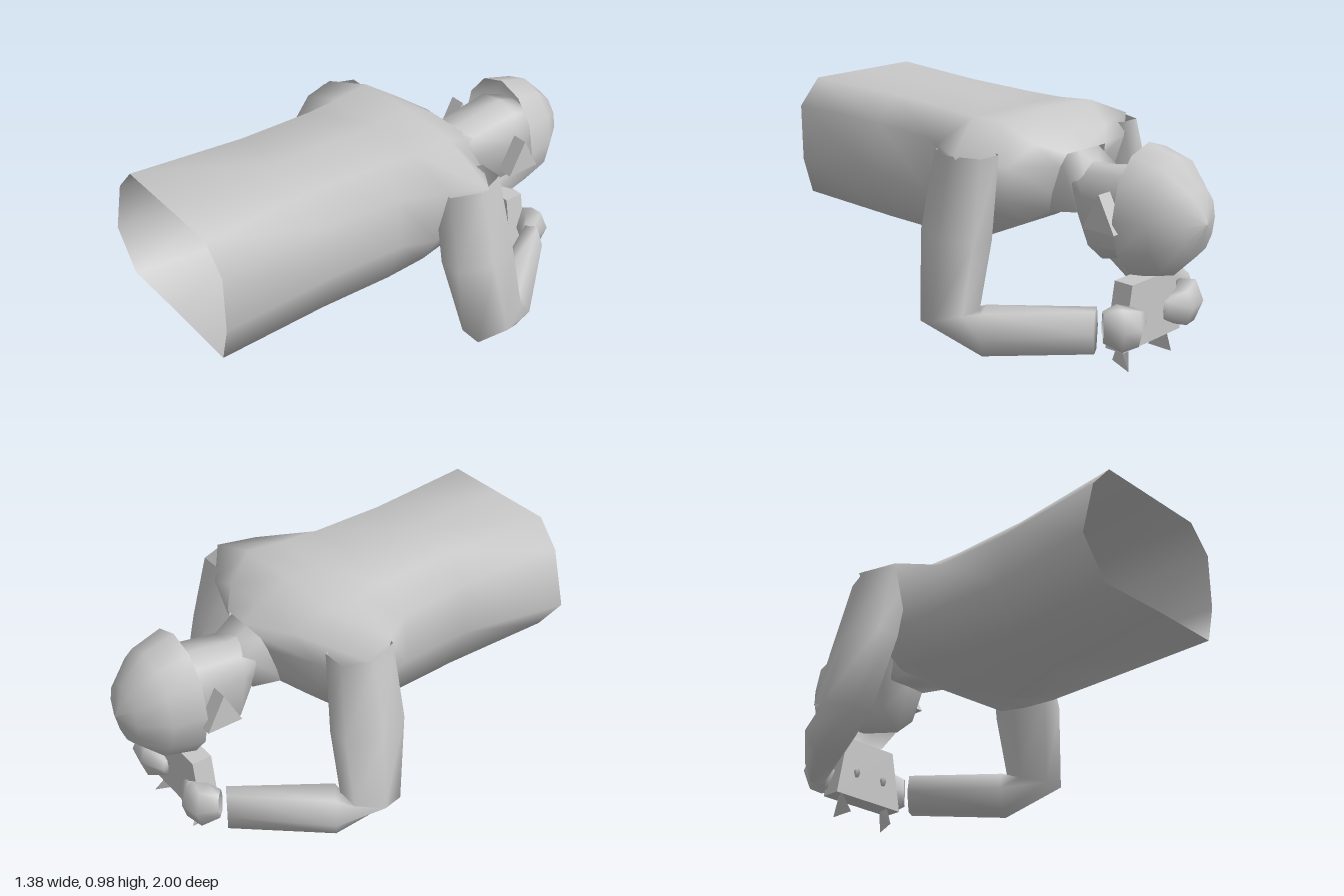
import * as THREE from 'three';
import { ConvexGeometry } from 'three/addons/geometries/ConvexGeometry.js';

const V = (x, y, z) => new THREE.Vector3(x, y, z);

// Skin over a list of equal-sized rings, counter-clockwise around the reverse of the path
function loft(rings, capEnd = false) {
  const n = rings[0].length, pos = [], index = [];
  rings.forEach(r => r.forEach(p => pos.push(p.x, p.y, p.z)));
  for (let i = 0; i < rings.length - 1; i++) {
    for (let j = 0; j < n; j++) {
      const a = i * n + j, b = i * n + (j + 1) % n;
      index.push(a, a + n, b, b, a + n, b + n);
    }
  }
  if (capEnd) {
    const s = (rings.length - 1) * n;
    for (let j = 1; j < n - 1; j++) index.push(s, s + j + 1, s + j);
  }
  const g = new THREE.BufferGeometry();
  g.setAttribute('position', new THREE.Float32BufferAttribute(pos, 3));
  g.setIndex(index);
  g.computeVertexNormals();
  return g;
}

// Ring symmetric in x: half = [x, y] from top centre down to bottom centre; z leans with height
function bodyRing(zTop, zBottom, half) {
  const yT = half[0][1], yB = half[half.length - 1][1];
  const at = (x, y) => V(x, y, THREE.MathUtils.mapLinear(y, yB, yT, zBottom, zTop));
  const left = half.map(([x, y]) => at(-x, y));
  const right = half.slice(1, -1).reverse().map(([x, y]) => at(x, y));
  return [...left, ...right];
}

// Hexagonal ring from its centre, a vector to the middle of a flat side and one to a corner
function limbRing([c, flat, corner]) {
  return Array.from({ length: 6 }, (_, i) => {
    const t = (i + .5) / 6 * Math.PI * 2;
    return V(...c).addScaledVector(V(...flat), Math.cos(t) / Math.cos(Math.PI / 6))
      .addScaledVector(V(...corner), Math.sin(t));
  });
}

const mirrorRing = r => r.map(p => V(-p.x, p.y, p.z)).reverse();

export function createModel() {
  const group = new THREE.Group();
  const grey = new THREE.MeshStandardMaterial({ color: 0xc8c8c8, side: THREE.DoubleSide });
  grey.name = 'plain grey';
  const add = (name, geometry) => {
    const m = new THREE.Mesh(geometry, grey);
    m.name = name;
    group.add(m);
    return m;
  };

  // Torso: open at the waist, closing in on the neck
  const torso = [
    bodyRing(1, 1, [[0, .975], [.275, .975], [.38, .86], [.38, .61], [.335, .445], [0, .45]]),
    bodyRing(.5, .5, [[0, .965], [.24, .96], [.345, .85], [.37, .62], [.3, .42], [0, .392]]),
    bodyRing(.16, .18, [[0, .955], [.25, .95], [.365, .84], [.385, .62], [.32, .43], [0, .355]]),
    bodyRing(0, 0, [[0, .95], [.27, .945], [.48, .865], [.42, .6], [.33, .45], [0, .43]]),
    bodyRing(-.17, -.13, [[0, .97], [.28, .955], [.54, .855], [.42, .62], [.32, .47], [0, .47]]),
    bodyRing(-.31, -.22, [[0, .895], [.22, .87], [.37, .8], [.34, .64], [.2, .52], [0, .51]]),
    bodyRing(-.385, -.29, [[0, .825], [.12, .825], [.14, .77], [.14, .65], [.12, .565], [0, .56]]),
  ];
  torso[0][3].x = -.455;
  torso[2][5].x = .07;
  add('torso', loft(torso));

  // Neck and head, face turned downwards
  const box = (zT, zB, x, yT, yB) => bodyRing(zT, zB, [[0, yT], [x, yT], [x, yB], [0, yB]]);
  add('neck', loft([box(-.34, -.26, .12, .82, .56), box(-.47, -.42, .1, .75, .58)]));
  add('head', loft([
    bodyRing(-.4, -.41, [[0, .78], [.09, .77], [.11, .7], [.1, .62], [0, .59]]),
    bodyRing(-.46, -.48, [[0, .77], [.1, .755], [.12, .66], [.09, .45], [0, .37]]),
    bodyRing(-.71, -.71, [[0, .81], [.11, .79], [.14, .66], [.11, .48], [0, .43]]),
    bodyRing(-.8, -.8, [[0, .78], [.1, .76], [.12, .66], [.1, .52], [0, .48]]),
  ], true));

  // Domed cap
  const dome = new THREE.LatheGeometry(
    [[.28, 0], [.243, .14], [.135, .25], [0, .29]].map(p => new THREE.Vector2(...p)), 12);
  dome.rotateX(-Math.PI / 2).scale(.8, 1, 1);
  add('cap', dome).position.set(.005, .63, -.71);

  // Arms sharply bent at the elbow, and hands closing behind the block
  const arm = [
    [[.44, .85, -.13], [0, 0, .13], [.1, 0, 0]],
    [[.515, .52, -.14], [0, 0, .15], [.105, 0, 0]],
    [[.59, .205, -.175], [0, -.04, .12], [.1, 0, 0]],
    [[.53, .16, -.31], [0, -.09, 0], [.09, 0, -.06]],
    [[.285, .19, -.685], [0, -.09, 0], [.05, 0, -.03]],
  ].map(limbRing);
  const hand = [
    [[.26, .2, -.7], [0, -.06, 0], [.03, 0, -.03]],
    [[.225, .2, -.755], [0, -.09, 0], [.035, 0, -.06]],
    [[.15, .19, -.78], [0, -.075, 0], [.02, 0, -.05]],
    [[.08, .19, -.745], [0, -.04, 0], [-.01, 0, -.03]],
    [[.08, .2, -.65], [0, -.02, 0], [-.015, 0, 0]],
  ].map(limbRing);
  for (const [side, rings] of [['left', r => r], ['right', r => r.map(mirrorRing)]]) {
    add(side + 'Arm', loft(rings(arm), true));
    add(side + 'Hand', loft(rings(hand), true));
  }

  // Wedge-shaped ears
  for (const s of [1, -1]) {
    const ear = new THREE.Shape([[-.57, .58], [-.65, .73], [-.73, .58]].map(([z, y]) => new THREE.Vector2(-z, y)));
    const g = new THREE.ExtrudeGeometry(ear, { depth: .07, bevelEnabled: false });
    g.rotateY(Math.PI / 2).translate(s > 0 ? .17 : -.25, 0, 0);
    add(s > 0 ? 'leftEar' : 'rightEar', g);
  }

  // Tapered block held between the hands
  const block = new THREE.Shape([[-.19, .08], [.19, .08], [.14, .355], [-.14, .355]].map(p => new THREE.Vector2(...p)));
  add('heldBlock', new THREE.ExtrudeGeometry(block, { depth: .09, bevelEnabled: false })).position.z = -.75;

  // Pointed feet below the block
  add('leftPoint', new ConvexGeometry([V(.12, .09, -.67), V(.13, .09, -.73), V(.12, 0, -.64), V(.175, 0, -.77)]));
  add('rightPoint', new ConvexGeometry([V(-.165, .09, -.66), V(-.12, .09, -.73), V(-.12, 0, -.64), V(-.12, 0, -.76)]));

  return group;
}
